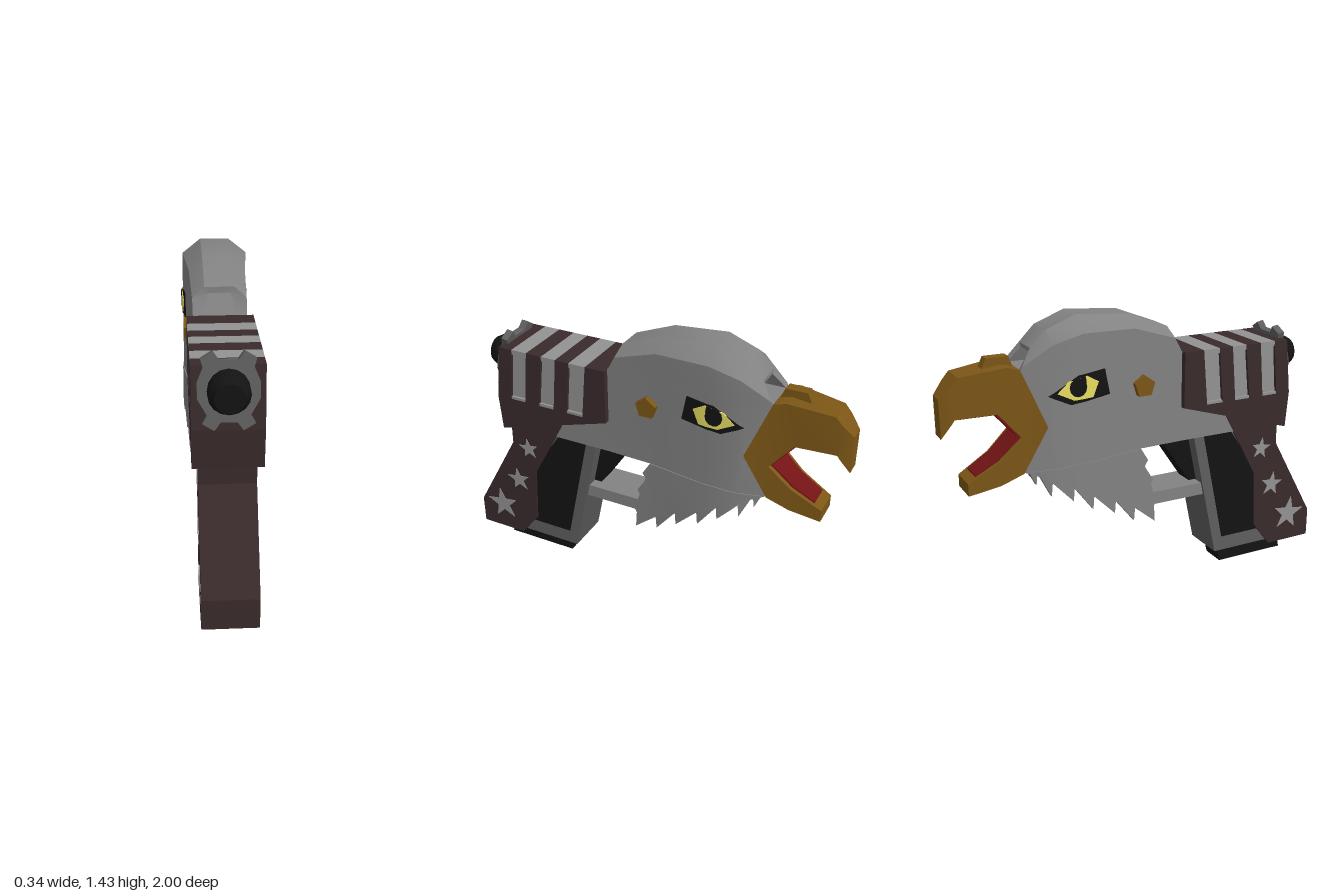
import * as THREE from 'three';
import { toCreasedNormals } from 'three/addons/utils/BufferGeometryUtils.js';

const mat = (name, color) => Object.assign(new THREE.MeshStandardMaterial({ color }), { name });
const M = {
  feather: mat('featherGrey', 0x828282),
  stripe: mat('paleStripe', 0x929292),
  metal: mat('darkMetal', 0x5e5e5e),
  maroon: mat('darkMaroon', 0x3a2b2c),
  beak: mat('beakOchre', 0x7c5616),
  mouth: mat('mouthRed', 0x741416),
  eye: mat('eyeYellow', 0xe8de62),
  black: mat('black', 0x131313),
};

// Half width of the head and beak along z
const WIDTHS = [[-1, .037], [-.95, .063], [-.64, .1], [-.5, .15], [-.35, .16], [-.08, .135], [.18, .125], [1, .125]];
function headWidth(z) {
  for (let i = 1; i < WIDTHS.length; i++) {
    const [z0, w0] = WIDTHS[i - 1], [z1, w1] = WIDTHS[i];
    if (z <= z1) return w0 + (w1 - w0) * Math.max(0, (z - z0) / (z1 - z0));
  }
  return .125;
}

function finish(tris) {
  const g = new THREE.BufferGeometry();
  g.setAttribute('position', new THREE.Float32BufferAttribute(tris.flat(2), 3));
  return toCreasedNormals(g, 0.5);
}

// Keep the part of a convex polygon where s * (z - c) >= 0
function clip(poly, c, s) {
  const out = [];
  poly.forEach((p, i) => {
    const q = poly[(i + 1) % poly.length], a = s * (p[0] - c), b = s * (q[0] - c);
    if (a >= 0) out.push(p);
    if (a * b < 0) out.push([c, p[1] + (q[1] - p[1]) * a / (a - b)]);
  });
  return out;
}

// Solid between x = lo(z) and x = hi(z) with a [z, y] outline
function slab(outline, lo, hi) {
  const pts = outline.map(([z, y]) => new THREE.Vector2(z, y));
  if (THREE.ShapeUtils.area(pts) > 0) pts.reverse();
  const tris = [], at = (f, p) => [f(p[0]), p[1], p[0]];
  for (const f of THREE.ShapeUtils.triangulateShape(pts, [])) {
    const t = f.map(i => [pts[i].x, pts[i].y]);
    if ((t[1][0] - t[0][0]) * (t[2][1] - t[0][1]) - (t[1][1] - t[0][1]) * (t[2][0] - t[0][0]) > 0) t.reverse();
    for (let k = 1; k < WIDTHS.length; k++) {
      const c = clip(clip(t, WIDTHS[k - 1][0], 1), WIDTHS[k][0], -1);
      for (let i = 1; i + 1 < c.length; i++) {
        tris.push([at(hi, c[0]), at(hi, c[i]), at(hi, c[i + 1])]);
        tris.push([at(lo, c[0]), at(lo, c[i + 1]), at(lo, c[i])]);
      }
    }
  }
  pts.forEach((p, i) => {
    const q = pts[(i + 1) % pts.length];
    const cuts = WIDTHS.map(w => (w[0] - p.x) / (q.x - p.x)).filter(t => t > 1e-4 && t < 1 - 1e-4);
    const ts = [0, ...cuts.sort((a, b) => a - b), 1];
    for (let k = 1; k < ts.length; k++) {
      const [a, b] = [ts[k - 1], ts[k]].map(t => [p.x + (q.x - p.x) * t, p.y + (q.y - p.y) * t]);
      tris.push([at(lo, a), at(lo, b), at(hi, b)], [at(lo, a), at(hi, b), at(hi, a)]);
    }
  });
  return finish(tris);
}

// Arched crown of the head, with the sighting tunnel left open below it
function crownGeometry() {
  // base z, side z, side y, top z, top y, top half width, tunnel height
  const rows = [
    [.18, .14, 1.28, .125, 1.33, .07, 1.30], [-.08, -.08, 1.35, -.08, 1.41, .07, 1.31],
    [-.35, -.35, 1.36, -.35, 1.432, .07, 1.31], [-.5, -.5, 1.32, -.5, 1.375, .07, 1.3],
    [-.64, -.63, 1.225, -.575, 1.3, .065, 1.28],
  ];
  const rings = rows.map(([zb, zs, ys, zt, yt, wt, yi]) => {
    const half = [[headWidth(zb), 1.205, zb], [headWidth(zs), ys, zs], [wt, yt, zt]];
    const inner = [[.05, yi, zt], [.08, 1.205, zb]];
    const flip = a => a.map(([x, y, z]) => [-x, y, z]).reverse();
    return [...half, ...flip(half), ...flip(inner), ...inner];
  });
  const tris = [], n = 10;
  for (let i = 1; i < rings.length; i++) for (let k = 0; k < n; k++) {
    const A = rings[i - 1], B = rings[i], j = (k + 1) % n;
    tris.push([B[k], B[j], A[j]], [B[k], A[j], A[k]]);
  }
  for (const [a, b, c] of [[0, 1, 8], [0, 8, 9], [1, 2, 8], [2, 3, 7], [2, 7, 8], [3, 4, 7], [4, 5, 6], [4, 6, 7]]) {
    const F = rings[0], R = rings[rings.length - 1];
    tris.push([F[a], F[b], F[c]], [R[a], R[c], R[b]]);
  }
  return finish(tris);
}

export function createModel() {
  const root = new THREE.Group();
  const add = (name, geo, m, parent = root) => {
    const mesh = new THREE.Mesh(geo, m);
    mesh.name = name;
    parent.add(mesh);
    return mesh;
  };
  // Centred solid; w is a number or a function of z
  const solid = (name, m, outline, w) => {
    const f = typeof w === 'number' ? () => w : w;
    return add(name, slab(outline, z => -f(z), f), m);
  };
  // Mirrored pair of plates between two half widths
  const pair = (name, m, outline, a, b) => {
    add(name + 'Left', slab(outline, a, b), m);
    add(name + 'Right', slab(outline, z => -b(z), z => -a(z)), m);
  };
  const off = d => z => headWidth(z) + d;
  const flat = d => () => d;

  // Head
  solid('head', M.feather, [[.18, 1.21], [.18, .93], [.46, .85], [.5, .755], [-.055, .755], [.03, .49], [.03, .45],
    [-.2, .54], [-.42, .64], [-.64, .725], [-.535, .94], [-.64, 1.21]], headWidth);
  add('crown', crownGeometry(), M.feather);

  // Ragged neck feathers on both sides
  const tips = [[.03, .355], [-.09, .385], [-.2, .45], [-.32, .5], [-.42, .56], [-.525, .6], [-.59, .66]];
  const fringe = [[-.05, .755], [-.01, .69], [-.03, .66], [.02, .58], [0, .55], [.04, .47], [.025, .44]];
  tips.forEach(([z, y], i) => {
    fringe.push([z, y]);
    if (i < tips.length - 1) fringe.push([tips[i + 1][0] + .006, tips[i + 1][1] + .065]);
  });
  fringe.push([-.62, .725], [-.4, .74]);
  pair('neckFeathers', M.feather, fringe, off(-.02), off(.005));

  // Beak, mouth lining and front sight
  solid('beak', M.beak, [[-.64, 1.215], [-.7, 1.23], [-.915, 1.205], [-1, 1.11], [-1, .925], [-.94, 1.015], [-.75, 1.02],
    [-.64, .89], [-.75, .79], [-.9, .705], [-.9, .645], [-.75, .675], [-.64, .72], [-.53, .94]], off(.004));
  solid('mouthLining', M.mouth, [[-.91, 1.018], [-.75, 1.022], [-.638, .89], [-.75, .788], [-.86, .726],
    [-.86, .735], [-.752, .798], [-.65, .89], [-.754, 1.011], [-.91, 1.009]], z => headWidth(z) * .78);
  solid('frontSight', M.beak, [[-.64, 1.2], [-.665, 1.265], [-.77, 1.265], [-.8, 1.2]], .027);

  // Eyes
  pair('eyeSurround', M.black, [[-.245, 1.185], [-.38, 1.17], [-.525, 1.085], [-.42, 1.035], [-.22, 1.06]], off(-.004), off(.003));
  pair('iris', M.eye, [[-.28, 1.13], [-.34, 1.165], [-.43, 1.145], [-.485, 1.095], [-.405, 1.055], [-.31, 1.06]], off(0), off(.006));
  const pupil = Array.from({ length: 12 }, (_, i) => [-.385 + .042 * Math.cos(i * Math.PI / 6), 1.115 + .045 * Math.sin(i * Math.PI / 6)]);
  pair('pupil', M.black, pupil, off(.003), off(.009));
  pair('brow', M.black, [[-.35, 1.165], [-.345, 1.135], [-.36, 1.115], [-.375, 1.16]], off(.003), off(.009));

  // Five-sided studs behind the eyes
  const stud = Array.from({ length: 5 }, (_, i) => [-.04 + .055 * Math.sin(i * Math.PI * .4), 1.072 + .055 * Math.cos(i * Math.PI * .4)]);
  pair('stud', M.beak, stud, flat(.1), flat(.164));

  // Slide: pale core, maroon ribs and pale bands across the top
  solid('slideLower', M.maroon, [[.18, .931], [.805, .931], [.79, .745]], .155);
  solid('slideCore', M.stripe, [[.2, 1.2], [.2, .92], [.79, .92], [.765, 1.2]], .14);
  const ribs = [[.18, .285, .18, .31], [.375, .45, .4, .475], [.53, .615, .56, .64], [.7, .775, .725, .805]];
  ribs.forEach(([a, b, c, d], i) => {
    solid('slideRib', M.maroon, [[a, 1.21], [b, 1.21], [d, .93], [c, .93]], .155);
    if (i < 3) {
      const e = ribs[i + 1];
      solid('slideBand', M.stripe, [[b, 1.21], [e[0], 1.21], [e[0], 1.185], [b, 1.185]], .155);
      solid('slotFoot', M.stripe, [[d, .93], [e[2], .93], [e[2], .945], [d, .945]], .153);
    }
  });

  // Notched rear plate, slightly tilted, and the round knob
  const half = [[.04, .12], [.065, .155], [.115, .125], [.105, .09], [.13, .03], [.13, -.04], [.09, -.11],
    [.11, -.145], [.06, -.175], [.035, -.14]];
  const outline = [...half, ...half.map(([x, y]) => [-x, y]).reverse()].map(p => new THREE.Vector2(...p));
  const plate = add('rearPlate', new THREE.ExtrudeGeometry(new THREE.Shape(outline), { depth: .035, bevelEnabled: false }), M.metal);
  plate.position.set(0, 1.11, .772);
  plate.rotation.x = -.19;
  const knobProfile = [[0, 0], [.09, 0], [.09, .06], [.065, .105], [0, .105]].map(p => new THREE.Vector2(...p));
  const knob = add('rearKnob', toCreasedNormals(new THREE.LatheGeometry(knobProfile, 16), .5), M.black);
  knob.rotation.x = Math.PI / 2;
  knob.position.set(0, 1.11, .79);

  // Grip
  solid('gripBack', M.maroon, [[.79, .76], [.76, .745], [.76, .65], [1, .22], [1, .07], [.745, .07], [.645, .2],
    [.63, .5], [.44, .848]], .127);
  solid('gripFrame', M.metal, [[.5, .77], [.26, .77], [.405, .09], [.74, .09], [.7, .5]], .115);
  pair('gripPanel', M.black, [[.48, .755], [.32, .755], [.445, .17], [.67, .17], [.65, .5]], flat(.112), flat(.119));
  solid('magazine', M.black, [[.84, .1], [.86, 0], [.47, 0], [.445, .1]], .065);

  // Stars down the grip
  [[.665, .635, .06], [.745, .42, .07], [.865, .225, .098]].forEach(([z, y, r]) => {
    const star = Array.from({ length: 10 }, (_, i) => {
      const a = i * Math.PI / 5 + .15, k = i % 2 ? r * .4 : r;
      return [z + k * Math.sin(a), y + k * Math.cos(a)];
    });
    pair('star', M.stripe, star, flat(.124), flat(.13));
  });

  // Trigger and guard
  solid('trigger', M.black, [[.27, .76], [.1, .76], [.275, .5], [.33, .5]], .05);
  solid('triggerGuard', M.feather, [[.33, .495], [.02, .495], [.02, .43], [.345, .43]], .1);

  return root;
}
